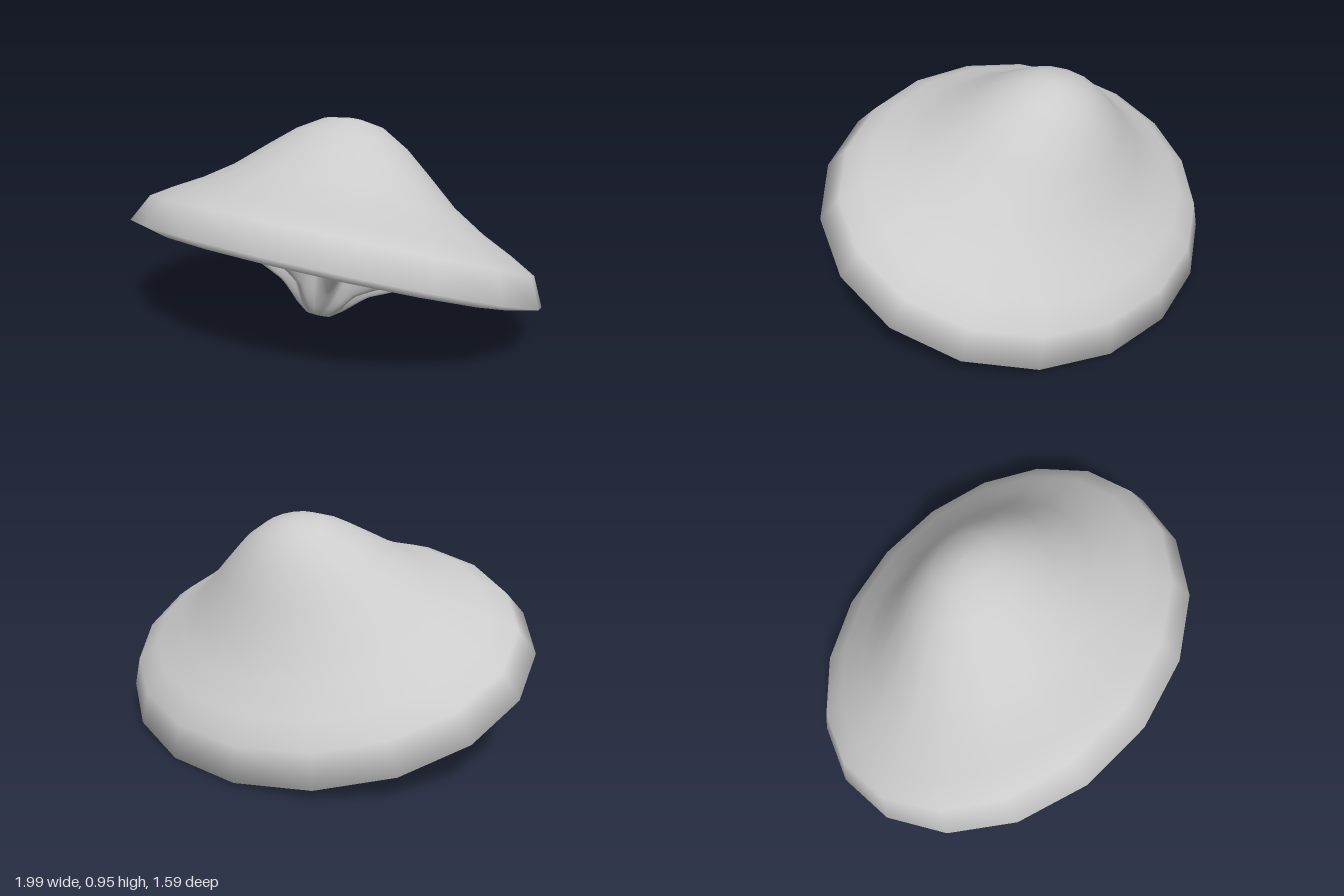
import * as THREE from 'three';

const SIDES = 18, GILLS = 10, STEPS = 180;
const PHASE = THREE.MathUtils.degToRad(-5);

// Height on a [radius, height] profile at radius r
function heightAt(profile, r) {
  const i = Math.max(1, profile.findIndex(p => p[0] >= r - 1e-6));
  const [r0, h0] = profile[i - 1], [r1, h1] = profile[i];
  return h0 + (h1 - h0) * (r - r0) / (r1 - r0);
}

// Radius factor that keeps the underside flush with the many-sided rim
function polygonFactor(angle) {
  const half = Math.PI / SIDES;
  const local = (angle - PHASE) % (2 * half);
  return Math.cos(half) / Math.cos(local - half);
}

// Bell-shaped cap with a rolled lip; its flanks swell sideways and the crown leans forward
function capGeometry() {
  const profile = [[0.88, -0.03], [1, 0], [0.915, 0.127], [0.8, 0.19], [0.66, 0.26], [0.52, 0.35],
    [0.38, 0.475], [0.27, 0.57], [0.15, 0.642], [0.05, 0.662], [0, 0.664]];
  const geometry = new THREE.LatheGeometry(profile.map(p => new THREE.Vector2(...p)), SIDES, PHASE);
  const p = geometry.attributes.position;
  for (let i = 0; i < p.count; i++) {
    const h = Math.max(0, p.getY(i));
    p.setX(i, p.getX(i) * (1 + 0.06 * Math.sin(Math.PI * h / 0.67)));
    p.setZ(i, p.getZ(i) + 0.035 * THREE.MathUtils.smoothstep(h, 0.1, 0.35));
  }
  return geometry;
}

// Underside: stem stub flowing into broad gills with pockets between them
function gillGeometry() {
  const ridge = [[0, -0.262], [0.06, -0.255], [0.12, -0.215], [0.22, -0.13], [0.33, -0.082],
    [0.48, -0.03], [0.7, -0.03], [0.88, -0.03]];
  const pocket = [[0, -0.262], [0.06, -0.255], [0.12, -0.21], [0.2, -0.09], [0.27, 0.06],
    [0.34, 0.19], [0.44, 0.25], [0.6, 0.19], [0.75, 0.11], [0.84, 0.03], [0.88, -0.03]];
  const radii = [0, 0.06, 0.12, 0.16, 0.2, 0.23, 0.27, 0.34, 0.44, 0.52, 0.6, 0.68, 0.75, 0.84, 0.88];
  const positions = [], index = [];
  radii.forEach((r, i) => {
    for (let j = 0; j < STEPS; j++) {
      const angle = PHASE + j / STEPS * Math.PI * 2;
      const blade = Math.pow(0.5 + 0.5 * Math.cos(GILLS * angle), 0.8);
      const h = THREE.MathUtils.lerp(heightAt(pocket, r), heightAt(ridge, r), blade);
      const rr = r * polygonFactor(angle);
      positions.push(rr * Math.sin(angle), h, rr * Math.cos(angle));
      if (i < radii.length - 1) {
        const k = (j + 1) % STEPS;
        const a = i * STEPS + j, d = i * STEPS + k, b = a + STEPS, c = d + STEPS;
        index.push(a, c, b);
        if (i > 0) index.push(a, d, c);
      }
    }
  });
  const geometry = new THREE.BufferGeometry();
  geometry.setAttribute('position', new THREE.Float32BufferAttribute(positions, 3));
  geometry.setIndex(index);
  geometry.computeVertexNormals();
  return geometry;
}

export function createModel() {
  const material = new THREE.MeshStandardMaterial({ color: 0xcccccc, side: THREE.DoubleSide });
  const model = new THREE.Group();
  model.name = 'mushroomCap';

  const cap = new THREE.Mesh(capGeometry(), material);
  cap.name = 'cap';

  const gills = new THREE.Mesh(gillGeometry(), material);
  gills.name = 'gillsAndStem';

  // Oval outline, tipped so the front rim is raised
  const tilted = new THREE.Group();
  tilted.name = 'tiltedCap';
  tilted.scale.set(1, 1, 0.85);
  tilted.rotation.x = THREE.MathUtils.degToRad(-20);
  tilted.position.y = 0.29;
  tilted.add(cap, gills);
  model.add(tilted);
  return model;
}
